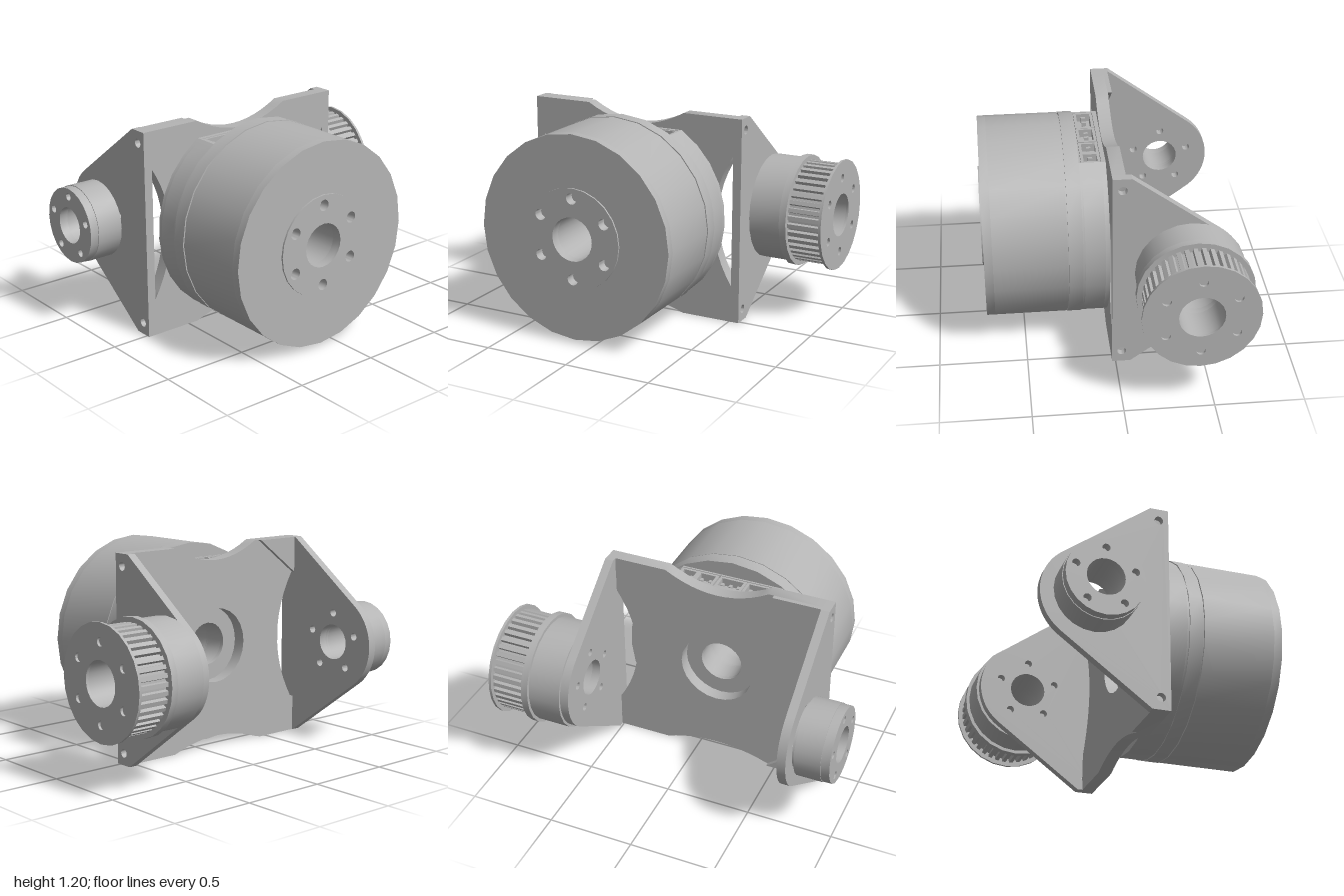
import * as THREE from 'three';
import { toCreasedNormals } from 'three/addons/utils/BufferGeometryUtils.js';

const gray = new THREE.MeshStandardMaterial({ color: 0xb4b4b4 });
gray.name = 'gray metal';

// Circle path used for outlines and holes
function circle(x, y, r, Type = THREE.Shape) {
  const p = new Type();
  p.absarc(x, y, r, 0, Math.PI * 2, Type === THREE.Path);
  return p;
}

// Bore plus a ring of small screw holes
function punch(shape, x, y, bore, ringR = 0, count = 0, holeR = 0.025) {
  shape.holes.push(circle(x, y, bore, THREE.Path));
  for (let i = 0; i < count; i++) {
    const a = Math.PI / 2 + (i / count) * Math.PI * 2;
    shape.holes.push(circle(x + ringR * Math.cos(a), y + ringR * Math.sin(a), holeR, THREE.Path));
  }
  return shape;
}

function extrude(shape, depth) {
  const g = new THREE.ExtrudeGeometry(shape, { depth, bevelEnabled: false, curveSegments: 12 });
  return toCreasedNormals(g, 0.6);
}

export function createModel() {
  const model = new THREE.Group();
  model.name = 'gimbalMotorBracket';

  const add = (name, geometry) => {
    const m = new THREE.Mesh(geometry, gray);
    m.name = name;
    model.add(m);
  };
  // Slab between two z values, outline in (x, y)
  const slabZ = (name, shape, z0, z1) => add(name, extrude(shape, z1 - z0).translate(0, 0, z0));
  // Slab between two x values, outline in (-z, y)
  const slabX = (name, shape, x0, x1) =>
    add(name, extrude(shape, x1 - x0).rotateY(Math.PI / 2).translate(x0, 0, 0));

  // ---- Side plates: a tall edge tapering to a rounded ear ----
  const ex = -0.41, ey = 0.6;
  const sidePlate = () => {
    const s = new THREE.Shape();
    s.moveTo(0.02, 0);
    s.lineTo(0.02, 1.2);
    s.lineTo(-0.085, 1.2);
    s.absarc(ex, ey, 0.29, 2.2, Math.PI * 2 - 2.2, false);
    s.lineTo(-0.085, 0);
    punch(s, ex, ey, 0.105, 0.175, 5, 0.022);
    for (const y of [0.07, 1.13]) s.holes.push(circle(-0.035, y, 0.025, THREE.Path));
    return s;
  };
  slabZ('frontSidePlate', sidePlate(), 0.73, 0.78);
  slabZ('backSidePlate', sidePlate(), -0.56, -0.51);

  // ---- Web joining the side plates, scooped on all four edges ----
  const mu = -0.115, my = 0.605;
  const w = new THREE.Shape();
  w.moveTo(-0.74, 0);
  w.lineTo(-0.44, 0);
  w.quadraticCurveTo(mu, 0.12, 0.2, 0);
  w.lineTo(0.52, 0);
  w.lineTo(0.52, 0.2);
  w.quadraticCurveTo(0.26, my, 0.52, 1.0);
  w.lineTo(0.52, 1.2);
  w.lineTo(0.2, 1.2);
  w.quadraticCurveTo(mu, 1.02, -0.42, 1.2);
  w.lineTo(-0.74, 1.2);
  w.lineTo(-0.74, 1.0);
  w.quadraticCurveTo(-0.49, my, -0.74, 0.2);
  punch(w, mu, my, 0.22);
  slabX('web', w, -0.055, 0.02);

  // ---- Triangular thickening in the front corners of the web ----
  for (const [y, d] of [[0, 1], [1.2, -1]]) {
    const pts = [[-0.74, y], [-0.45, y], [-0.74, y + d * 0.22]].map(p => new THREE.Vector2(...p));
    slabX('cornerGusset', new THREE.Shape(pts), -0.08, -0.055);
  }

  // ---- Motor base: flat-topped discs, with a notch for the sockets ----
  const flatDisc = (notched) => {
    const r = 0.58, top = 1.1, a = Math.asin((top - my) / r);
    const s = new THREE.Shape();
    s.absarc(mu, my, r, Math.PI - a, Math.PI * 2 + a, false);
    if (notched) {
      s.lineTo(0.185, top);
      s.lineTo(0.185, 1.05);
      s.lineTo(-0.405, 1.05);
      s.lineTo(-0.405, top);
    }
    s.closePath();
    return punch(s, mu, my, 0.125);
  };
  slabX('motorBaseRear', flatDisc(false), 0.02, 0.045);
  slabX('motorBaseNotched', flatDisc(true), 0.045, 0.158);
  slabX('motorBaseFlat', flatDisc(false), 0.158, 0.17);
  slabX('motorBaseRim', punch(circle(mu, my, 0.587), mu, my, 0.125), 0.17, 0.25);
  slabX('motorGap', punch(circle(mu, my, 0.575), mu, my, 0.125), 0.25, 0.257);

  // ---- Sockets in the notch: open frames with pins ----
  for (const [z0, z1] of [[-0.177, -0.085], [-0.07, 0.035], [0.06, 0.205], [0.225, 0.397]]) {
    const cz = (z0 + z1) / 2;
    for (const x of [0.055, 0.148]) {
      add('socketWall', new THREE.BoxGeometry(0.016, 0.05, z1 - z0).translate(x, 1.073, cz));
    }
    for (const z of [z0, z1]) {
      add('socketWall', new THREE.BoxGeometry(0.109, 0.05, 0.016).translate(0.1015, 1.073, z));
    }
    const pins = Math.round((z1 - z0) / 0.05);
    for (let i = 0; i < pins; i++) {
      const z = z0 + ((i + 0.5) / pins) * (z1 - z0);
      add('socketPin', new THREE.BoxGeometry(0.025, 0.04, 0.018).translate(0.1, 1.065, z));
    }
  }

  // ---- Rotor can, end face and central boss ----
  slabX('rotor', punch(circle(mu, my, 0.585), mu, my, 0.125), 0.257, 0.67);
  slabX('rotorEnd', punch(circle(mu, my, 0.585), mu, my, 0.125, 0.23, 6, 0.032), 0.67, 0.718);
  slabX('rotorBoss', punch(circle(mu, my, 0.29), mu, my, 0.125, 0.23, 6, 0.032), 0.718, 0.728);

  // ---- Front hub ----
  slabZ('frontHubNeck', punch(circle(ex, ey, 0.19), ex, ey, 0.105), 0.78, 0.8);
  slabZ('frontHub', punch(circle(ex, ey, 0.222), ex, ey, 0.105), 0.8, 0.95);
  slabZ('frontHubEnd', punch(circle(ex, ey, 0.218), ex, ey, 0.105, 0.17, 5, 0.022), 0.95, 1.0);

  // ---- Back pulley: drum, flange, toothed ring, end flange ----
  slabZ('pulleyDrum', punch(circle(ex, ey, 0.306), ex, ey, 0.125), -0.75, -0.56);
  slabZ('pulleyInnerFlange', punch(circle(ex, ey, 0.325), ex, ey, 0.125), -0.79, -0.75);
  const teeth = 40, pts = [];
  for (let i = 0; i < teeth; i++) {
    for (const [f, r] of [[0, 0.275], [0.3, 0.275], [0.4, 0.296], [0.9, 0.296]]) {
      const a = ((i + f) / teeth) * Math.PI * 2;
      pts.push(new THREE.Vector2(ex + r * Math.cos(a), ey + r * Math.sin(a)));
    }
  }
  slabZ('pulleyTeeth', punch(new THREE.Shape(pts), ex, ey, 0.125), -0.985, -0.79);
  slabZ('pulleyEndFlange', punch(circle(ex, ey, 0.322), ex, ey, 0.125, 0.22, 6, 0.025), -1.0, -0.985);

  return model;
}
